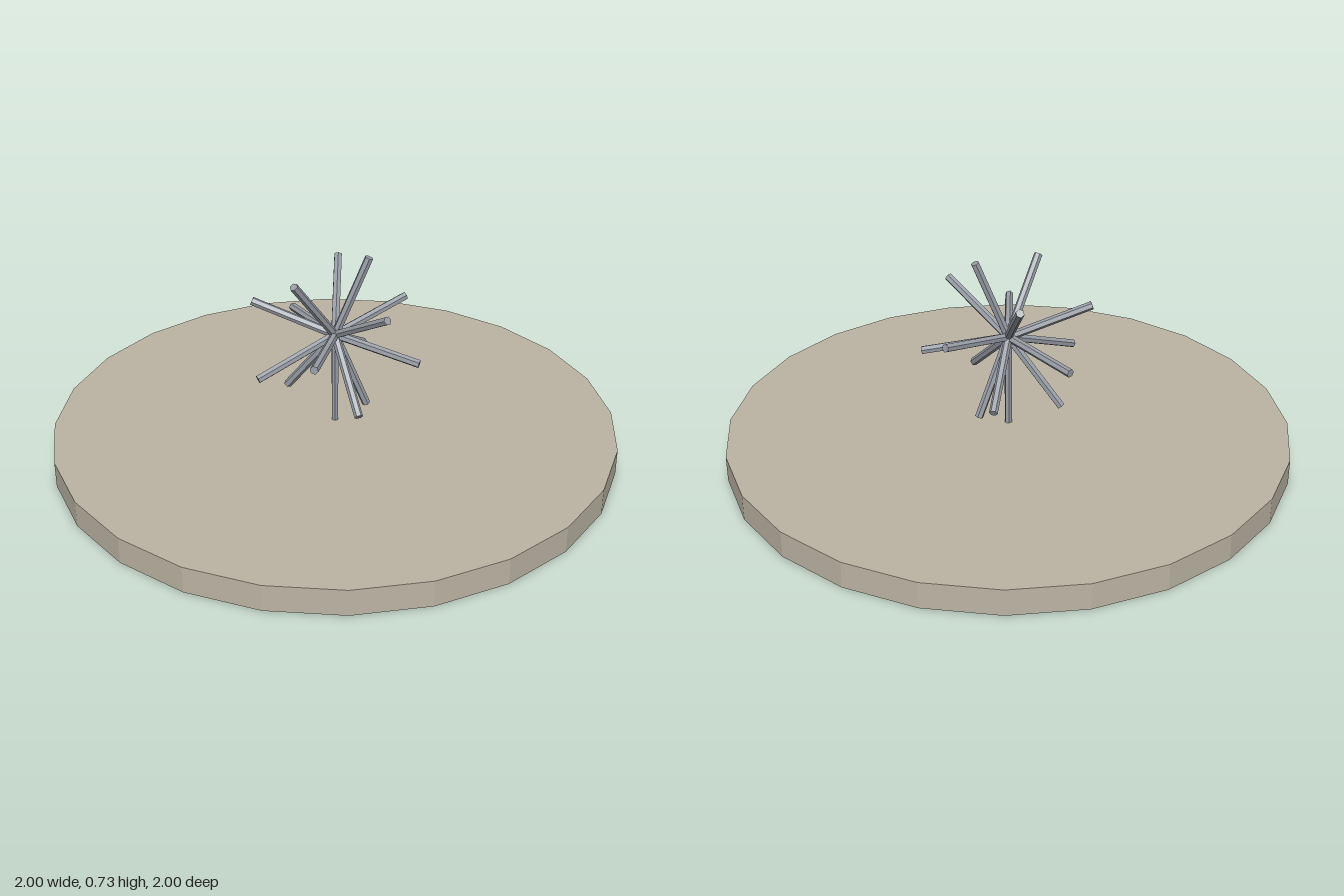
import * as THREE from 'three';

const material = (color, side = THREE.FrontSide) =>
  new THREE.MeshStandardMaterial({ color, side, flatShading: true });

export function createModel() {
  const model = new THREE.Group();
  const stone = material(0xbdb5a5, THREE.DoubleSide);
  const metal = material(0x9a9fa8);
  const green = material(0x2d3f1e);
  const top = 0.094, hubY = 0.432, sides = 24;

  const add = (parent, name, geometry, mat) => {
    const mesh = new THREE.Mesh(geometry, mat);
    mesh.name = name;
    parent.add(mesh);
    return mesh;
  };

  // Round plinth: a hollow rim, closed above and open below
  const plinth = new THREE.Group();
  plinth.name = 'plinth';
  model.add(plinth);
  add(plinth, 'rim', new THREE.CylinderGeometry(1, 1, top, sides, 1, true).translate(0, top / 2, 0), stone);
  add(plinth, 'plinthTop', new THREE.CircleGeometry(1, sides).rotateX(-Math.PI / 2).translate(0, top, 0), stone);
  add(plinth, 'underside', new THREE.CircleGeometry(0.998, sides).rotateX(Math.PI / 2).translate(0, top - 0.003, 0), green);

  // Upright post carrying the burst
  add(model, 'post', new THREE.CylinderGeometry(0.013, 0.013, hubY - top, 6).translate(0, (hubY + top) / 2, 0), metal);

  // Rods spread evenly over a sphere along a golden-angle spiral
  const burst = new THREE.Group();
  burst.name = 'rodBurst';
  burst.position.y = hubY;
  model.add(burst);
  const count = 14, length = 0.312;
  const golden = Math.PI * (3 - Math.sqrt(5));
  const up = new THREE.Vector3(0, 1, 0);
  const rodGeometry = new THREE.CylinderGeometry(0.015, 0.015, length, 6).translate(0, length / 2, 0);
  for (let i = 0; i < count; i++) {
    const y = 1 - (2 * (i + 0.5)) / count;
    const r = Math.sqrt(1 - y * y);
    const direction = new THREE.Vector3(r * Math.cos(i * golden), y, r * Math.sin(i * golden));
    add(burst, `rod${i + 1}`, rodGeometry, metal).quaternion.setFromUnitVectors(up, direction);
  }
  return model;
}
